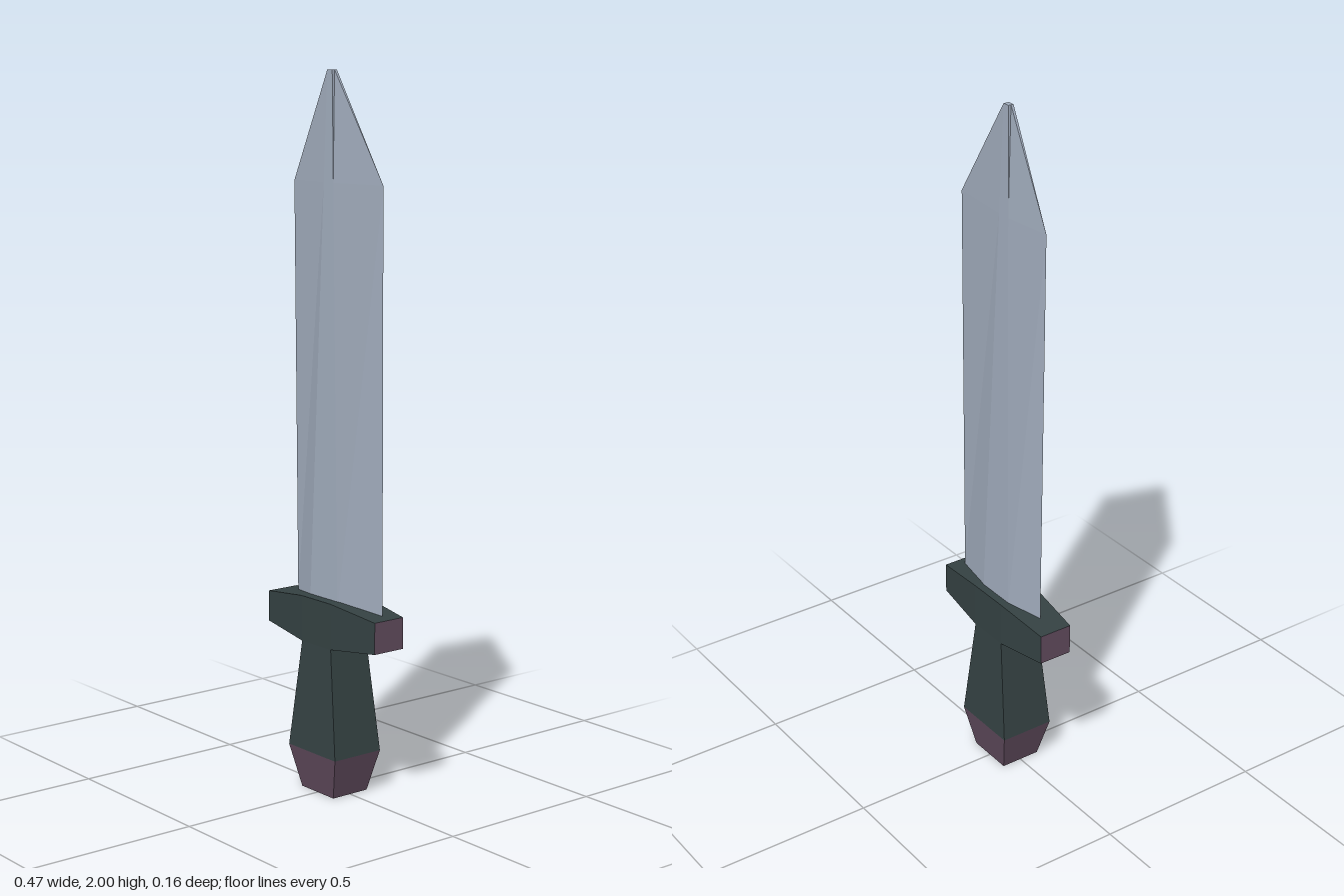
import * as THREE from 'three';

// Skin between matching rings of Vector3 points, with optional flat end caps
function loft(rings, capStart, capEnd) {
  const pos = [];
  const tri = (...pts) => pts.forEach((p) => pos.push(p.x, p.y, p.z));
  const n = rings[0].length;
  for (let r = 0; r < rings.length - 1; r++) {
    const a = rings[r], b = rings[r + 1];
    for (let i = 0; i < n; i++) {
      const j = (i + 1) % n;
      tri(a[i], a[j], b[j]);
      tri(a[i], b[j], b[i]);
    }
  }
  const last = rings[rings.length - 1];
  for (let i = 1; i < n - 1; i++) {
    if (capStart) tri(rings[0][0], rings[0][i + 1], rings[0][i]);
    if (capEnd) tri(last[0], last[i], last[i + 1]);
  }
  const g = new THREE.BufferGeometry();
  g.setAttribute('position', new THREE.Float32BufferAttribute(pos, 3));
  g.computeVertexNormals();
  return g;
}

const V = (x, y, z) => new THREE.Vector3(x, y, z);

// Rectangular ring at height y
const rectY = (y, hx, hz) => [V(-hx, y, hz), V(hx, y, hz), V(hx, y, -hz), V(-hx, y, -hz)];

// Rectangular ring at position x along the guard
const rectX = (x, y0, y1, hz) => [V(x, y1, hz), V(x, y0, hz), V(x, y0, -hz), V(x, y1, -hz)];

// Six-sided blade ring: two sharp edges and a flat ridge on each face
function bladeRing(y, left, ridgeL, ridgeR, right, hz) {
  const c = -0.004;
  return [
    V(left, y, c), V(ridgeL, y, c + hz), V(ridgeR, y, c + hz),
    V(right, y, c), V(ridgeR, y, c - hz), V(ridgeL, y, c - hz),
  ];
}

export function createModel() {
  const group = new THREE.Group();
  const mat = (color) => new THREE.MeshStandardMaterial({ color, flatShading: true });
  const steel = mat(0x9faaba), dark = mat(0x344142), plum = mat(0x5f4a5c);
  const add = (name, geometry, material) => {
    const mesh = new THREE.Mesh(geometry, material);
    mesh.name = name;
    group.add(mesh);
    return mesh;
  };

  // Blade, tapering in thickness to a blunt off-centre tip
  add('blade', loft([
    bladeRing(0.535, -0.168, -0.065, 0.055, 0.203, 0.038),
    bladeRing(1.7, -0.18, -0.033, 0.008, 0.2, 0.014),
    bladeRing(2, -0.025, -0.025, -0.004, -0.004, 0.008),
  ], true, true), steel);

  // Crossguard, thickest in the middle
  add('guard', loft([
    rectX(-0.235, 0.447, 0.535, 0.05),
    rectX(-0.065, 0.427, 0.556, 0.065),
    rectX(0.065, 0.427, 0.556, 0.065),
    rectX(0.235, 0.447, 0.535, 0.05),
  ], false, false), dark);

  // Coloured end faces of the guard
  for (const s of [1, -1]) {
    const cap = add(s > 0 ? 'guardEndLeft' : 'guardEndRight', new THREE.PlaneGeometry(0.1, 0.088), plum);
    cap.position.set(s * 0.235, 0.491, 0);
    cap.rotation.y = s * Math.PI / 2;
  }

  // Grip flaring down to the pommel
  add('grip', loft([rectY(0.12, 0.103, 0.081), rectY(0.43, 0.063, 0.064)], true, true), dark);
  add('pommel', loft([rectY(0, 0.07, 0.06), rectY(0.12, 0.103, 0.081)], true, false), plum);

  return group;
}
